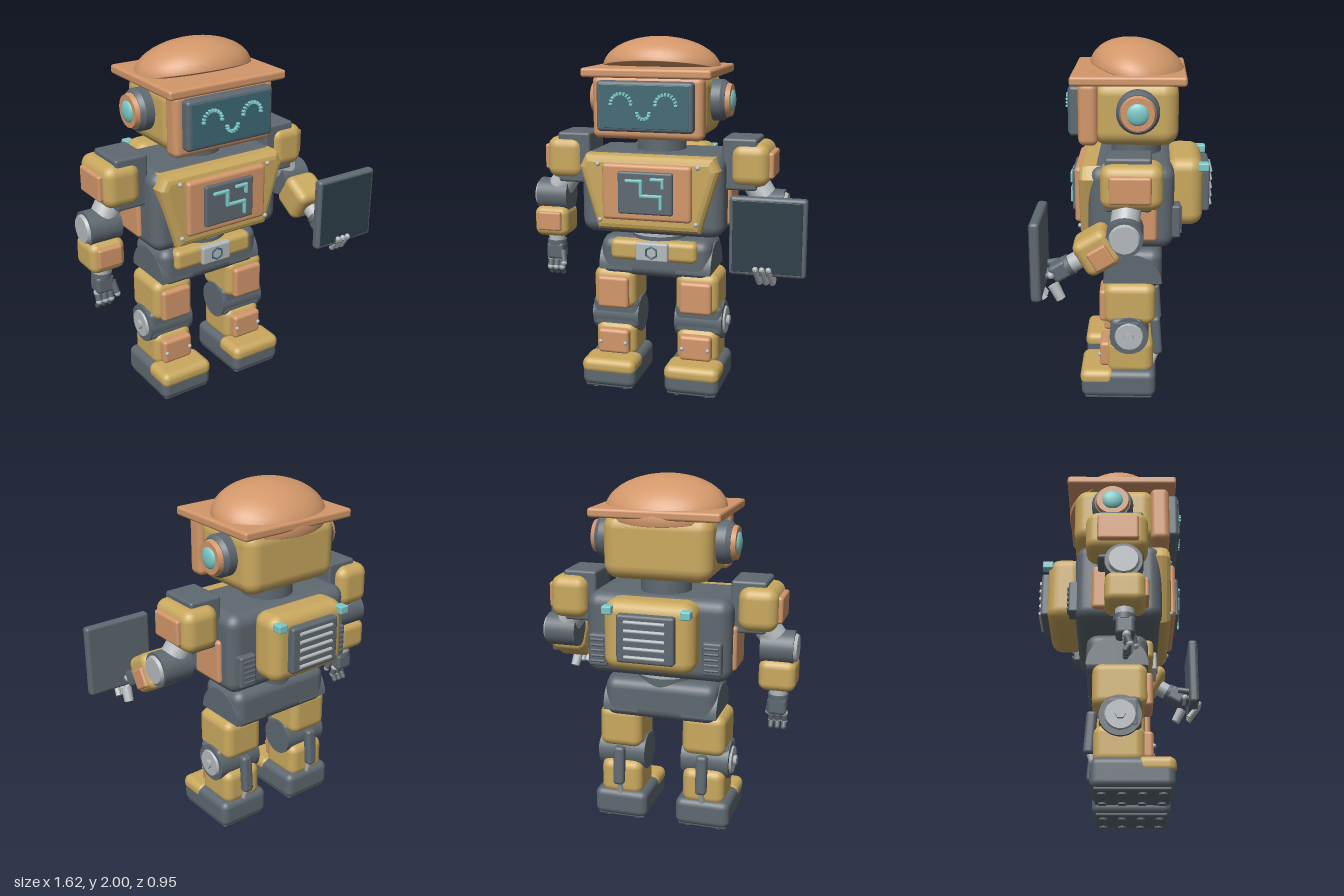
import * as THREE from 'three';
import { RoundedBoxGeometry } from 'three/addons/geometries/RoundedBoxGeometry.js';

const mat = (name, color) => Object.assign(new THREE.MeshStandardMaterial({ color }), { name });
const yellow = mat('mustard shell', 0xcaa95f);
const orange = mat('copper orange', 0xd2976a);
const gray = mat('slate gray', 0x5f6971);
const silver = mat('silver', 0xb5babd);
const teal = mat('glowing teal', 0x7cc9c8);
const screen = mat('face screen', 0x3f6975);
const glass = mat('tablet glass', 0x2d3d48);

function add(parent, name, geo, material, x = 0, y = 0, z = 0) {
  const m = new THREE.Mesh(geo, material);
  m.name = name;
  m.position.set(x, y, z);
  parent.add(m);
  return m;
}

// Rounded block given by its spans on each axis
function block(p, name, material, [x0, x1], [y0, y1], [z0, z1], r = 0.02) {
  const w = Math.abs(x1 - x0), h = Math.abs(y1 - y0), d = Math.abs(z1 - z0);
  const geo = new RoundedBoxGeometry(w, h, d, 3, Math.min(r, w * 0.49, h * 0.49, d * 0.49));
  return add(p, name, geo, material, (x0 + x1) / 2, (y0 + y1) / 2, (z0 + z1) / 2);
}

// Cylinder between two points
function rod(p, name, material, a, b, r, r2 = r, sides = 32) {
  const A = new THREE.Vector3(...a), B = new THREE.Vector3(...b), dir = B.clone().sub(A);
  const m = add(p, name, new THREE.CylinderGeometry(r2, r, dir.length(), sides), material);
  m.position.copy(A).add(B).multiplyScalar(0.5);
  m.quaternion.setFromUnitVectors(new THREE.Vector3(0, 1, 0), dir.normalize());
  return m;
}

const ball = (p, name, material, r, x, y, z) => add(p, name, new THREE.SphereGeometry(r, 16, 12), material, x, y, z);

function group(parent, name, x = 0, y = 0, z = 0) {
  const g = new THREE.Group();
  g.name = name;
  g.position.set(x, y, z);
  parent.add(g);
  return g;
}

function buildHead(root) {
  const g = group(root, 'head');
  block(g, 'headShell', yellow, [-0.3, 0.3], [1.455, 1.81], [-0.28, 0.18], 0.08);
  block(g, 'faceFrame', orange, [-0.307, 0.307], [1.46, 1.8], [0.148, 0.254], 0.035);
  block(g, 'screenBezel', gray, [-0.265, 0.265], [1.507, 1.775], [0.22, 0.305], 0.02);
  block(g, 'faceScreen', screen, [-0.243, 0.243], [1.527, 1.757], [0.302, 0.31], 0.003);
  // Beaded eyes and smile
  const beads = (name, cx, cy, r, a0, a1, n) => {
    for (let i = 0; i < n; i++) {
      const a = a0 + (a1 - a0) * i / (n - 1);
      const b = block(g, name, teal, [-0.009, 0.009], [-0.006, 0.006], [-0.01, 0.012], 0.003);
      b.position.set(cx + r * Math.cos(a), cy + r * Math.sin(a), 0.315);
      b.rotation.z = a;
    }
  };
  for (const s of [-1, 1]) beads('eye', s * 0.122, 1.655, 0.056, 0, Math.PI, 11);
  beads('smile', 0, 1.612, 0.033, Math.PI, 2 * Math.PI, 8);
  // Cap: square brim and a dome tipped backwards
  block(g, 'capBrim', orange, [-0.357, 0.357], [1.79, 1.84], [-0.32, 0.293], 0.015);
  const domeGeo = new THREE.SphereGeometry(1, 40, 24);
  const pos = domeGeo.attributes.position;
  for (let i = 0; i < pos.count; i++) if (pos.getY(i) < 0) pos.setY(i, pos.getY(i) * 0.12);
  domeGeo.scale(0.335, 0.176, 0.268);
  domeGeo.computeVertexNormals();
  add(g, 'capDome', domeGeo, orange, 0, 1.817, -0.06).rotation.x = -0.23;
  // Ear pods
  for (const s of [-1, 1]) {
    const disc = (name, m, x0, x1, r0, r1) => rod(g, name, m, [s * x0, 1.653, -0.065], [s * x1, 1.653, -0.065], r0, r1);
    disc('earPod', gray, 0.28, 0.35, 0.115, 0.115);
    disc('earPodEdge', gray, 0.35, 0.375, 0.115, 0.1);
    disc('earRing', orange, 0.37, 0.4, 0.097, 0.088);
    const lens = ball(g, 'earLens', teal, 0.06, s * 0.395, 1.653, -0.065);
    lens.scale.x = 0.4;
  }
  rod(root, 'neck', gray, [0, 1.34, -0.05], [0, 1.48, -0.05], 0.14);
}

function buildTorso(root) {
  const g = group(root, 'torso');
  block(g, 'torsoCore', gray, [-0.405, 0.405], [0.917, 1.375], [-0.26, 0.2], 0.07);
  // Tapered chest shell
  const shape = new THREE.Shape([[-0.29, 0.95], [0.29, 0.95], [0.395, 1.3], [0.36, 1.37], [-0.36, 1.37], [-0.395, 1.3]]
    .map(([x, y]) => new THREE.Vector2(x, y)));
  add(g, 'chestPlate', new THREE.ExtrudeGeometry(shape, {
    depth: 0.1, bevelThickness: 0.045, bevelSize: 0.04, bevelOffset: -0.04, bevelSegments: 3,
  }), yellow, 0, 0, 0.105);
  block(g, 'chestPanel', orange, [-0.25, 0.25], [1.02, 1.33], [0.22, 0.28], 0.02);
  block(g, 'chestDisplay', gray, [-0.153, 0.153], [1.06, 1.293], [0.26, 0.3], 0.012);
  const traces = [[[-0.1, 1.245], [-0.02, 1.245], [-0.02, 1.165], [0.09, 1.165], [0.09, 1.1]], [[0.04, 1.257], [0.1, 1.257], [0.1, 1.215]]];
  for (const t of traces) for (let i = 1; i < t.length; i++) {
    const [a, b] = [t[i - 1], t[i]], e = 0.009;
    block(g, 'circuitTrace', teal, [Math.min(a[0], b[0]) - e, Math.max(a[0], b[0]) + e],
      [Math.min(a[1], b[1]) - e, Math.max(a[1], b[1]) + e], [0.295, 0.315], 0.006);
  }
  for (const s of [-1, 1]) {
    for (const y of [1.01, 1.32]) ball(g, 'chestRivet', silver, 0.013, s * (y > 1.2 ? 0.28 : 0.272), y, 0.25);
    block(g, 'sidePanel', orange, [s * 0.38, s * 0.425], [0.97, 1.22], [-0.17, 0.05], 0.02);
    // Rear vents
    block(g, 'rearVent', gray, [s * 0.265, s * 0.37], [0.975, 1.155], [-0.295, -0.24], 0.012);
    for (let i = 0; i < 5; i++) {
      const y = 1.005 + i * 0.03;
      rod(g, 'rearVentSlat', gray, [s * 0.28, y, -0.297], [s * 0.355, y, -0.297], 0.007, 0.007, 8);
    }
  }
  // Backpack
  block(g, 'backpack', yellow, [-0.25, 0.25], [0.995, 1.38], [-0.42, -0.22], 0.07);
  block(g, 'backpackPanel', gray, [-0.157, 0.157], [1.06, 1.32], [-0.46, -0.4], 0.015);
  for (let i = 0; i < 5; i++) {
    const y = 1.095 + i * 0.047;
    rod(g, 'backpackSlat', silver, [-0.11, y, -0.465], [0.11, y, -0.465], 0.01, 0.01, 12);
  }
  for (const s of [-1, 1]) block(g, 'backpackLight', teal, [s * 0.185, s * 0.24], [1.31, 1.355], [-0.45, -0.39], 0.008);
  // Waist and pelvis
  rod(g, 'waist', gray, [0, 0.84, -0.03], [0, 0.93, -0.03], 0.163);
  rod(g, 'waistRing', silver, [0, 0.898, -0.03], [0, 0.915, -0.03], 0.167);
  block(g, 'pelvis', gray, [-0.322, 0.322], [0.652, 0.88], [-0.2, 0.125], 0.06);
  block(g, 'belt', yellow, [-0.25, 0.25], [0.757, 0.875], [0.06, 0.155], 0.03);
  block(g, 'buckle', silver, [-0.093, 0.093], [0.765, 0.87], [0.1, 0.178], 0.01);
  const nut = add(g, 'buckleNut', new THREE.TorusGeometry(0.034, 0.006, 6, 6), screen, 0, 0.817, 0.179);
  nut.rotation.z = Math.PI / 6;
}

function buildLeg(root, s) {
  const g = group(root, s > 0 ? 'leftLeg' : 'rightLeg', s * 0.243);
  const X = (a, b) => [s * a, s * b];
  const hip = new THREE.CylinderGeometry(0.163, 0.163, 0.2, 32, 1, false, 0, Math.PI);
  hip.rotateZ(Math.PI / 2);
  add(g, 'hipJoint', hip, gray, s * -0.017, 0.69, -0.037);
  block(g, 'thigh', yellow, [-0.124, 0.124], [0.45, 0.692], [-0.165, 0.12], 0.05);
  block(g, 'thighPlate', orange, [-0.092, 0.092], [0.462, 0.648], [0.09, 0.147], 0.02);
  // Knee
  rod(g, 'knee', gray, [s * -0.135, 0.395, -0.02], [s * 0.14, 0.395, -0.02], 0.108);
  block(g, 'kneeBlock', gray, X(-0.135, 0.142), [0.32, 0.5], [-0.1, 0.085], 0.03);
  rod(g, 'kneeDisc', silver, [s * 0.13, 0.395, -0.02], [s * 0.152, 0.395, -0.02], 0.085, 0.075);
  rod(g, 'kneeBolt', silver, [s * 0.15, 0.395, -0.02], [s * 0.17, 0.395, -0.02], 0.028, 0.028, 6);
  // Shin
  block(g, 'shin', yellow, [-0.122, 0.122], [0.15, 0.36], [-0.155, 0.105], 0.05);
  block(g, 'shinPlate', orange, [-0.092, 0.092], [0.185, 0.33], [0.08, 0.147], 0.02);
  for (const x of [-0.075, 0.075]) ball(g, 'shinRivet', silver, 0.012, x, 0.255, 0.147);
  // Calf piston
  block(g, 'calfPiston', gray, [-0.032, 0.032], [0.23, 0.46], [-0.2, -0.145], 0.02).rotation.x = 0.07;
  rod(g, 'calfRod', silver, [0, 0.25, -0.18], [0, 0.16, -0.145], 0.016, 0.016, 16);
  // Foot
  block(g, 'boot', gray, [-0.157, 0.157], [0.018, 0.178], [-0.17, 0.25], 0.04);
  block(g, 'toeCap', yellow, [-0.159, 0.159], [0.092, 0.184], [0.06, 0.256], 0.04);
  block(g, 'sole', gray, [-0.14, 0.14], [0.01, 0.06], [-0.15, 0.23], 0.01);
  for (const x of [-0.09, 0.09]) for (let i = 0; i < 4; i++)
    rod(g, 'soleStud', gray, [x, 0, -0.11 + i * 0.1], [x, 0.03, -0.11 + i * 0.1], 0.022, 0.022, 12);
}

function buildArm(root, s) {
  const g = group(root, s > 0 ? 'leftArm' : 'rightArm');
  const X = (a, b) => [s * a, s * b];
  block(g, 'shoulderJoint', gray, X(0.38, 0.57), [1.18, 1.465], [-0.14, 0.1], 0.015);
  block(g, 'shoulderPad', yellow, X(0.425, 0.637), [1.2, 1.437], [-0.2, 0.123], 0.06);
  block(g, 'shoulderPlate', orange, X(0.61, 0.66), [1.245, 1.39], [-0.14, 0.075], 0.015);
  rod(g, 'upperArm', silver, [s * 0.52, 1.25, -0.02], [s * 0.62, 1.1, 0], 0.075);
  // Elbow
  rod(g, 'elbow', gray, [s * 0.535, 1.085, -0.005], [s * 0.715, 1.085, -0.005], 0.095);
  rod(g, 'elbowDisc', silver, [s * 0.71, 1.085, -0.005], [s * 0.732, 1.085, -0.005], 0.082, 0.072);
  // Forearm hangs on one side and is raised on the other
  const f = group(g, 'forearm', s * 0.63, 1.085, 0);
  const raised = s > 0, drop = raised ? 0.045 : 0;
  f.rotation.x = raised ? -1.03 : 0;
  block(f, 'forearmShell', yellow, [-0.102, 0.102], [-0.235 - drop / 2, -0.06], [-0.1, 0.105], 0.045);
  if (raised) block(f, 'forearmPlate', orange, [0.08, 0.122], [-0.2, -0.09], [-0.075, 0.035], 0.012);
  else block(f, 'forearmPlate', orange, [-0.07, 0.07], [-0.195, -0.085], [0.08, 0.122], 0.012);
  // Hand
  const h = group(f, 'hand', 0, -drop, 0);
  rod(h, 'wrist', silver, [0, -0.215, 0], [0, -0.285, 0], 0.048);
  rod(h, 'wristCuff', gray, [0, -0.27, 0], [0, -0.3, 0], 0.056);
  block(h, 'palm', gray, [-0.052, 0.052], [-0.385, -0.285], [-0.045, 0.05], 0.02);
  for (let i = -1; i <= 1; i++) {
    const x = i * 0.036;
    ball(h, 'knuckle', silver, 0.022, x, -0.385, 0.01);
    rod(h, 'finger', gray, [x, -0.385, 0.01], [x, -0.435, 0.025], 0.018, 0.018, 16);
    ball(h, 'fingerJoint', silver, 0.019, x, -0.435, 0.025);
    rod(h, 'fingerTip', raised ? silver : gray, [x, -0.435, 0.025], [x, -0.468, 0.005], 0.017, 0.014, 16);
    ball(h, 'fingerEnd', gray, 0.015, x, -0.468, 0.005);
  }
  rod(h, 'thumb', gray, [s * -0.045, -0.33, 0.03], [s * -0.06, -0.4, 0.055], 0.02, 0.017, 16);
  ball(h, 'thumbEnd', silver, 0.018, s * -0.06, -0.4, 0.055);
}

function buildTablet(root) {
  const g = group(root, 'tablet');
  block(g, 'tabletCase', gray, [0.493, 0.89], [0.81, 1.222], [0.4, 0.452], 0.018);
  block(g, 'tabletScreen', glass, [0.512, 0.87], [0.83, 1.203], [0.449, 0.457], 0.003);
  // Fingertips hooked over the lower edge
  for (let i = 0; i < 3; i++) {
    const x = 0.65 + i * 0.034;
    rod(g, 'grippingFinger', silver, [x, 0.765, 0.4], [x - 0.015, 0.85, 0.468], 0.017, 0.014, 16);
    ball(g, 'grippingFingerTip', silver, 0.015, x - 0.015, 0.85, 0.465);
  }
  rod(g, 'grippingThumb', silver, [0.69, 0.83, 0.36], [0.7, 0.755, 0.32], 0.03, 0.026, 16);
}

export function createModel() {
  const model = new THREE.Group();
  model.name = 'robot';
  const root = group(model, 'body', -0.078);
  buildHead(root);
  buildTorso(root);
  for (const s of [-1, 1]) {
    buildLeg(root, s);
    buildArm(root, s);
  }
  buildTablet(root);
  return model;
}
